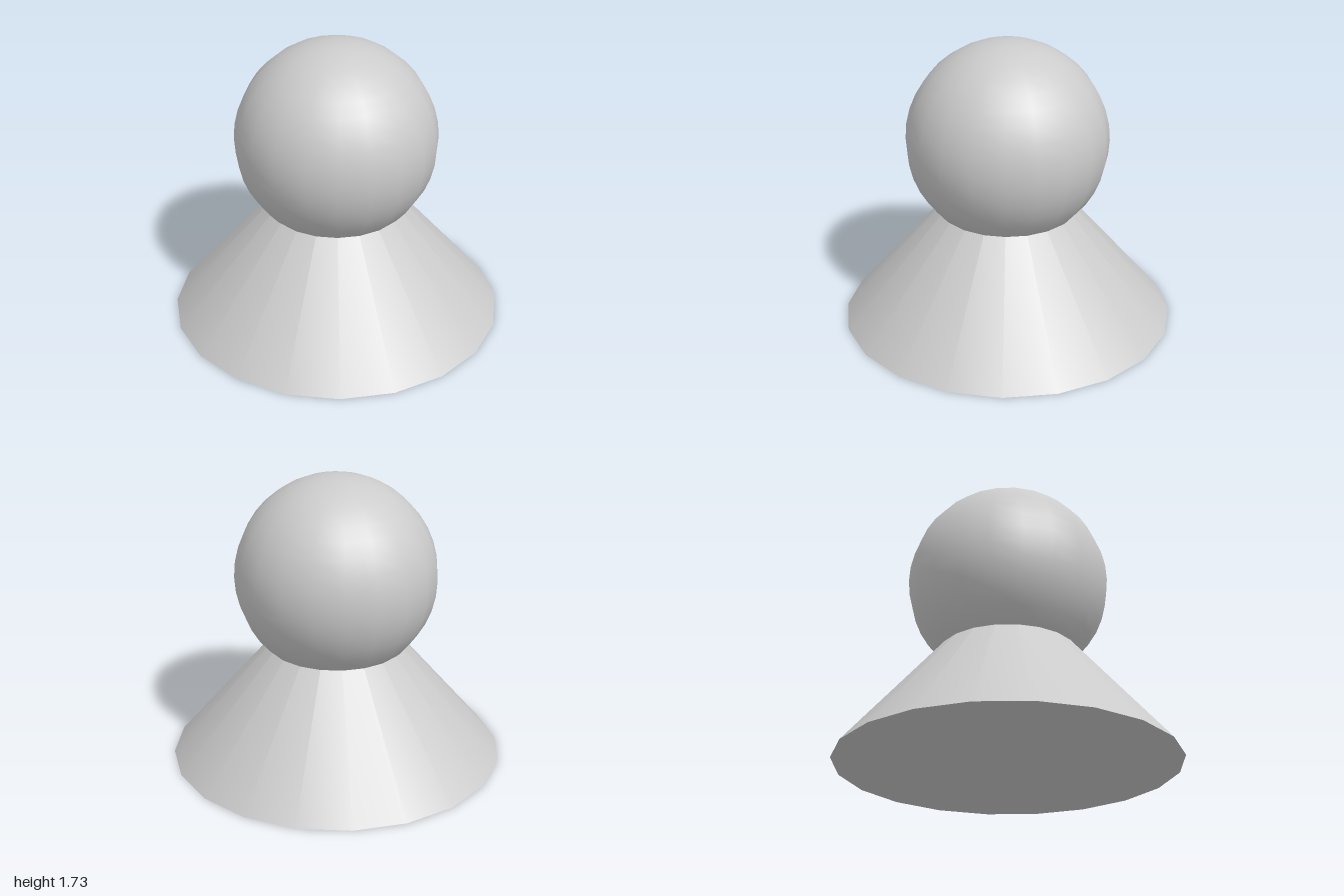
import * as THREE from 'three';

const SIDES = 20;

export function createModel() {
  const group = new THREE.Group();
  const material = new THREE.MeshStandardMaterial({ color: 0xcccccc });

  const add = (name, geometry, y) => {
    const mesh = new THREE.Mesh(geometry, material);
    mesh.name = name;
    mesh.position.y = y;
    group.add(mesh);
  };

  // Conical body with a closed base; its tip is hidden inside the head
  const bodyHeight = 1.165;
  add('body', new THREE.ConeGeometry(1, bodyHeight, SIDES), bodyHeight / 2);

  // Round head sunk onto the cone
  add('head', new THREE.SphereGeometry(0.6, SIDES, SIDES), 1.13);

  return group;
}
